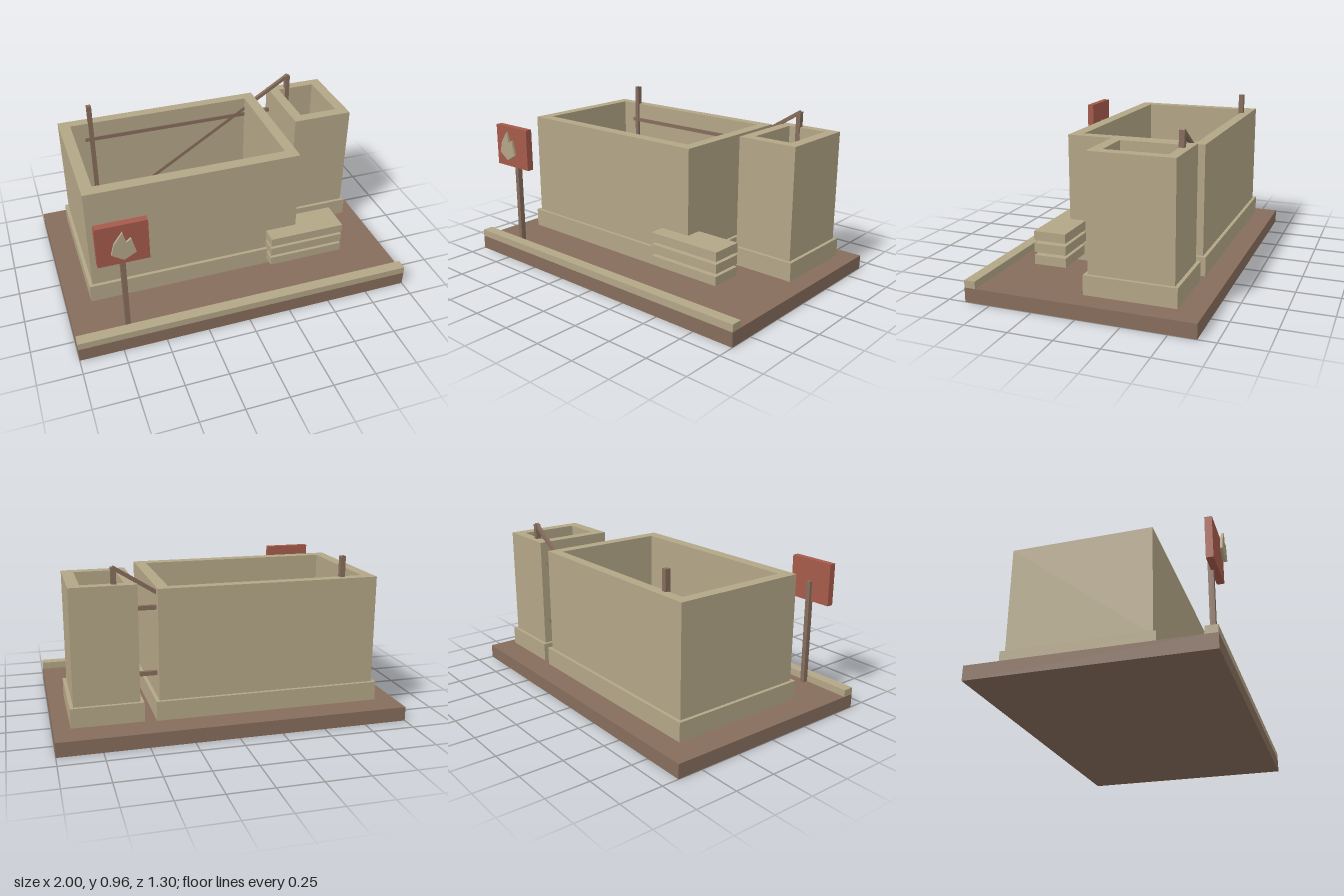
import * as THREE from 'three';

export function createModel() {
  const model = new THREE.Group();
  const material = (name, color) => {
    const m = new THREE.MeshStandardMaterial({ color });
    m.name = name;
    return m;
  };
  const sand = material('sandstone', 0xb3a687);
  const wood = material('brown wood', 0x866d5c);
  const red = material('brick red', 0xa55a4a);

  const add = (name, geometry, mat, parent = model) => {
    const mesh = new THREE.Mesh(geometry, mat);
    mesh.name = name;
    parent.add(mesh);
    return mesh;
  };
  // Box given by its extents along each axis
  const box = (name, mat, [x0, x1], [y0, y1], [z0, z1], parent) => {
    const mesh = add(name, new THREE.BoxGeometry(x1 - x0, y1 - y0, z1 - z0), mat, parent);
    mesh.position.set((x0 + x1) / 2, (y0 + y1) / 2, (z0 + z1) / 2);
    return mesh;
  };

  // Ground slab and kerb along the front
  box('groundSlab', wood, [-1, 1], [0, 0.083], [-0.65, 0.65]);
  box('kerb', sand, [-1, 1], [0.083, 0.125], [0.585, 0.65]);

  // Open-topped block: a solid plinth carrying a hollow ring of walls
  const rect = (path, [x0, x1], [z0, z1]) => path
    .moveTo(x0, -z1).lineTo(x1, -z1).lineTo(x1, -z0).lineTo(x0, -z0).closePath();
  function openBlock(name, x, z, innerX, innerZ, top) {
    const group = new THREE.Group();
    group.name = name;
    const rim = 0.02;
    box('plinth', sand, [x[0] - rim, x[1] + rim], [0.1, 0.21], [z[0] - rim, z[1] + rim], group);
    const shape = rect(new THREE.Shape(), x, z);
    shape.holes.push(rect(new THREE.Path(), innerX, innerZ));
    const walls = new THREE.ExtrudeGeometry(shape, { depth: top - 0.2, bevelEnabled: false });
    walls.rotateX(-Math.PI / 2).translate(0, 0.2, 0);
    add('walls', walls, sand, group);
    model.add(group);
  }
  openBlock('mainBlock', [-0.84, 0.42], [-0.51, 0.293], [-0.773, 0.353], [-0.449, 0.222], 0.835);
  openBlock('sideTower', [0.525, 0.888], [-0.5, -0.025], [0.588, 0.822], [-0.441, -0.09], 0.863);

  // Timber frame along the back: two posts, two rails and a brace
  const frame = new THREE.Group();
  frame.name = 'timberFrame';
  model.add(frame);
  for (const x of [-0.65, 0.645]) {
    box('framePost', wood, [x - 0.014, x + 0.014], [0.083, 0.953], [-0.468, -0.437], frame);
  }
  for (const y of [0.354, 0.724]) {
    box('frameRail', wood, [-0.69, 0.66], [y - 0.012, y + 0.012], [-0.464, -0.443], frame);
  }
  const [ax, ay, bx, by] = [-0.65, 0.135, 0.65, 0.952];
  const brace = add('frameBrace',
    new THREE.BoxGeometry(Math.hypot(bx - ax, by - ay), 0.021, 0.021), wood, frame);
  brace.position.set((ax + bx) / 2, (ay + by) / 2, -0.4535);
  brace.rotation.z = Math.atan2(by - ay, bx - ax);

  // Stack of three slabs by the corner
  for (let i = 0; i < 3; i++) {
    const y = 0.143 + i * 0.07;
    box('stackedSlab', sand, [0.23, 0.69], [y, y + 0.053], [0.196, 0.386]);
  }

  // Signboard with a flame-shaped plate in front
  const sign = new THREE.Group();
  sign.name = 'sign';
  model.add(sign);
  box('signPost', wood, [-0.716, -0.688], [0.083, 0.715], [0.555, 0.585], sign);
  box('signBoard', red, [-0.84, -0.56], [0.594, 0.841], [0.572, 0.612], sign);
  const flame = new THREE.Shape([
    [-0.704, 0.643], [-0.636, 0.68], [-0.659, 0.772], [-0.686, 0.751],
    [-0.702, 0.818], [-0.751, 0.75], [-0.768, 0.686],
  ].map(([x, y]) => new THREE.Vector2(x, y)));
  const plate = new THREE.ExtrudeGeometry(flame, { depth: 0.014, bevelEnabled: false });
  add('flamePlate', plate, sand, sign).position.z = 0.633;

  return model;
}
